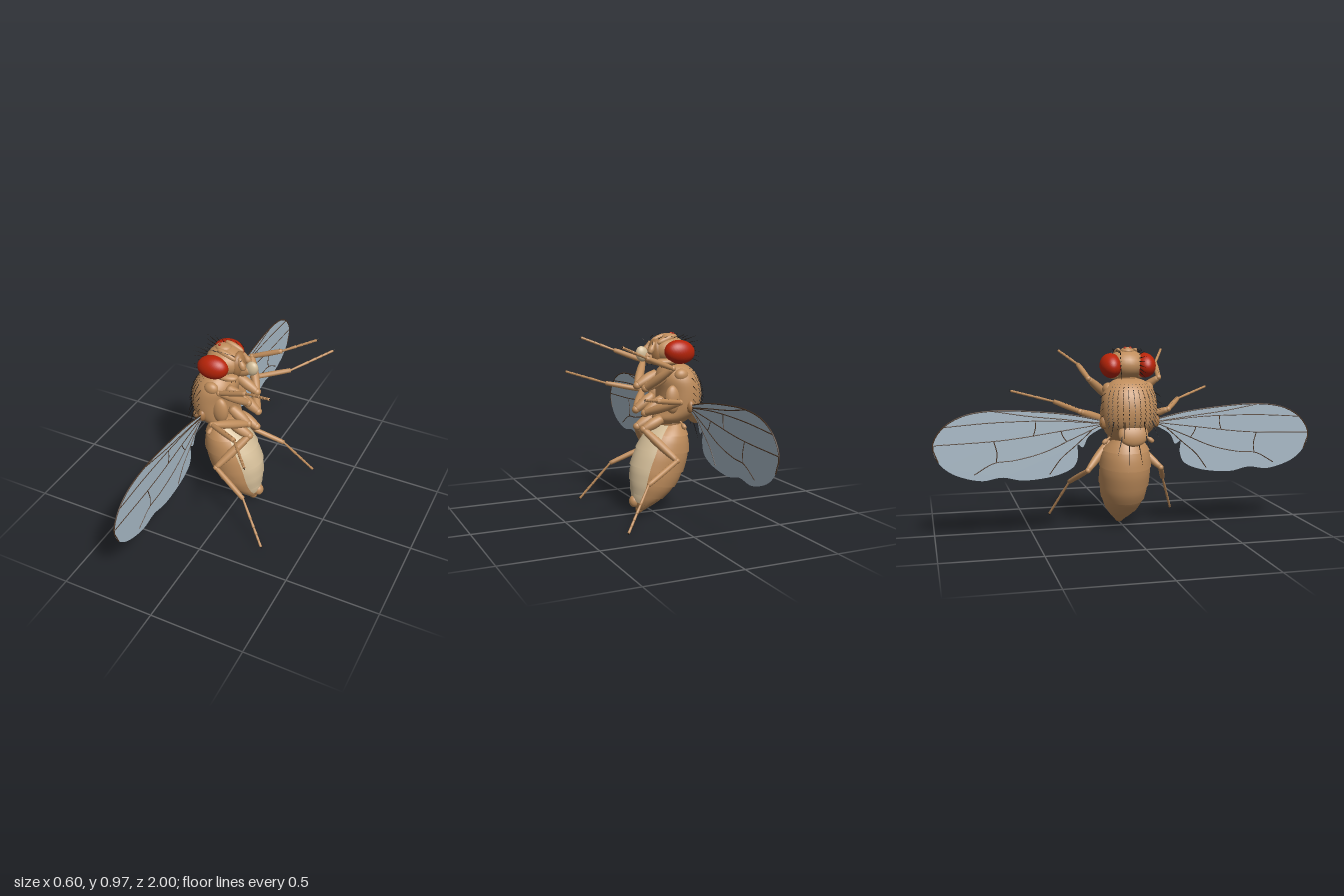
import * as THREE from 'three';
import { toCreasedNormals } from 'three/addons/utils/BufferGeometryUtils.js';

const V = (x, y, z = 0) => new THREE.Vector3(x, y, z);
const mat = (color, extra = {}) => new THREE.MeshStandardMaterial({ color, ...extra });
const tan = mat(0xbf8d5c), tanDark = mat(0xa87748), pale = mat(0xd3bd98);
const black = mat(0x1c140e), veinMat = mat(0x4a3424);
const eyeMat = mat(0xb82408, { flatShading: true });
const wingMat = mat(0xa9bac7, { side: THREE.DoubleSide });
const UP = V(0, 1, 0);

function add(parent, name, geo, material) {
  const m = new THREE.Mesh(geo, material);
  m.name = name;
  parent.add(m);
  return m;
}
function blob(parent, name, p, r, material = tan, tilt = 0) {
  const m = add(parent, name, new THREE.SphereGeometry(1, 24, 16), material);
  m.position.set(...p);
  m.scale.set(...r);
  m.rotation.z = tilt;
  return m;
}

// A body is given by back points, belly points and half widths, smoothed along its length.
// The returned function gives the surface point at t (0..1) and angle a (0 = belly, PI = back).
function body(rows) {
  const back = new THREE.CatmullRomCurve3(rows.map(r => V(r[0], r[1], r[4])));
  const belly = new THREE.CatmullRomCurve3(rows.map(r => V(r[2], r[3], r[4])));
  return (t, a, s = 1) => {
    const d = back.getPoint(t), b = belly.getPoint(t);
    const c = d.clone().add(b).multiplyScalar(0.5);
    const h = b.clone().sub(d).multiplyScalar(0.5 * s);
    return V(c.x + h.x * Math.cos(a), c.y + h.y * Math.cos(a), d.z * s * Math.sin(a));
  };
}
// Skin over a body between two angles; stations are [t, scale].
function skin(surf, stations, a0, a1, n) {
  const pos = [], idx = [];
  stations.forEach(([t, s]) => {
    for (let i = 0; i <= n; i++) pos.push(...surf(t, a0 + (a1 - a0) * i / n, s).toArray());
  });
  for (let j = 0; j < stations.length - 1; j++) for (let i = 0; i < n; i++) {
    const p = j * (n + 1) + i, q = p + n + 1;
    idx.push(p, p + 1, q, p + 1, q + 1, q);
  }
  const g = new THREE.BufferGeometry();
  g.setAttribute('position', new THREE.Float32BufferAttribute(pos, 3));
  g.setIndex(idx);
  return toCreasedNormals(g, 0.7);
}

// Lathed limb piece from a to b; profile lists radii at even steps.
function limb(parent, name, a, b, radii, material = tan) {
  const L = a.distanceTo(b), n = radii.length - 1;
  const smooth = new THREE.SplineCurve(radii.map((r, i) => new THREE.Vector2(r, L * i / n))).getPoints(n * 3);
  const pts = [new THREE.Vector2(0, -radii[0] * 0.4), ...smooth, new THREE.Vector2(0, L + radii[n] * 0.4)];
  const m = add(parent, name, new THREE.LatheGeometry(pts, 12), material);
  m.position.copy(a);
  m.quaternion.setFromUnitVectors(UP, b.clone().sub(a).normalize());
}
function bristle(parent, p, dir, len, r = 0.0022) {
  const d = dir.clone().normalize();
  const m = add(parent, 'bristle', new THREE.ConeGeometry(r, len, 4), black);
  m.position.copy(p).addScaledVector(d, len / 2);
  m.quaternion.setFromUnitVectors(UP, d);
}

function buildAbdomen(g) {
  const surf = body([
    [-0.165, 0.5, -0.06, 0.5, 0.07], [-0.198, 0.425, 0.03, 0.44, 0.12],
    [-0.203, 0.33, 0.085, 0.36, 0.135], [-0.17, 0.22, 0.12, 0.27, 0.13],
    [-0.122, 0.14, 0.126, 0.19, 0.115], [-0.05, 0.075, 0.12, 0.12, 0.085],
    [0.02, 0.035, 0.115, 0.075, 0.053], [0.07, 0.006, 0.095, 0.025, 0.018]]);
  const edge = 0.95;
  for (let i = 0; i < 7; i++) {
    const t = k => (i + k) / 7;
    const rows = [[t(0), 0.97], [t(0.25), 0.99], [t(0.5), 1.0], [t(0.75), 1.01], [t(1), 1.025], [t(1.02), 0.9]];
    if (i === 6) rows.splice(4, 2, [1, 0.9], [1, 0]);
    const whole = i === 6;
    add(g, 'tergite', skin(surf, rows, whole ? 0 : edge, Math.PI * 2 - (whole ? 0 : edge), 36), tan);
    if (!whole) add(g, 'sternite', skin(surf, rows, -edge, edge, 16), pale);
  }
  blob(g, 'abdomenTip', [0.108, 0.07, 0], [0.027, 0.033, 0.03]);
  blob(g, 'abdomenTip', [0.078, 0.024, 0], [0.02, 0.022, 0.024], tanDark);
}

function buildThorax(g) {
  const surf = body([
    [-0.13, 0.815, -0.1, 0.815, 0.03], [-0.2, 0.795, -0.06, 0.795, 0.09],
    [-0.25, 0.74, -0.028, 0.74, 0.135], [-0.272, 0.66, -0.035, 0.66, 0.145],
    [-0.262, 0.58, -0.03, 0.57, 0.138], [-0.215, 0.52, -0.005, 0.52, 0.11], [-0.16, 0.48, -0.04, 0.48, 0.06]]);
  const rows = Array.from({ length: 29 }, (_, i) => [i / 28, 1]);
  add(g, 'thorax', skin(surf, [[0, 0], ...rows, [1, 0]], 0, Math.PI * 2, 40), tan);
  blob(g, 'scutellum', [-0.238, 0.535, 0], [0.03, 0.065, 0.078], tan, -0.3);
  blob(g, 'neck', [-0.105, 0.815, 0], [0.045, 0.035, 0.05], tanDark);
  blob(g, 'waist', [-0.1, 0.49, 0], [0.07, 0.03, 0.08], tanDark);
  // Rows of short back-swept hairs
  for (let j = 0; j < 12; j++) for (let i = -5; i <= 5; i++) {
    const t = 0.2 + j * 0.042, a = Math.PI + i * 0.2;
    const p = surf(t, a), out = V(Math.cos(a), 0, Math.sin(a));
    bristle(g, p, out.multiplyScalar(0.55).add(V(0, -0.8, 0)), 0.028, 0.0019);
  }
  for (const s of [-1, 1]) {
    // Long bristles on the scutellum and the rear and sides of the thorax
    bristle(g, V(-0.255, 0.49, 0.025 * s), V(-0.36, -1, 0.1 * s), 0.13, 0.0035);
    bristle(g, V(-0.255, 0.53, 0.06 * s), V(-0.25, -1, 0.3 * s), 0.11, 0.0035);
    bristle(g, V(-0.265, 0.6, 0.05 * s), V(-0.3, -1, 0.1 * s), 0.1, 0.003);
    bristle(g, V(-0.235, 0.6, 0.1 * s), V(-0.4, -1, 0.3 * s), 0.09, 0.003);
    for (let k = 0; k < 5; k++)
      bristle(g, V(-0.17, 0.74 - k * 0.035, 0.13 * s), V(-0.3, -0.7, s), 0.05, 0.0025);
    blob(g, 'shoulder', [-0.12, 0.755, 0.105 * s], [0.04, 0.035, 0.03]);
    blob(g, 'sidePlate', [-0.07, 0.63, 0.105 * s], [0.045, 0.075, 0.03]);
    blob(g, 'wingHinge', [-0.16, 0.59, 0.135 * s], [0.022, 0.035, 0.025], tanDark);
    limb(g, 'haltere', V(-0.12, 0.51, 0.09 * s), V(-0.13, 0.475, 0.135 * s), [0.006, 0.005, 0.013, 0.01]);
  }
}

function buildHead(g) {
  blob(g, 'head', [-0.09, 0.88, 0], [0.1, 0.078, 0.1]);
  blob(g, 'facePlate', [-0.015, 0.873, 0], [0.035, 0.07, 0.06], tanDark);
  blob(g, 'crown', [-0.1, 0.95, 0], [0.042, 0.02, 0.035]);
  limb(g, 'proboscis', V(0, 0.835, 0), V(0.05, 0.86, 0), [0.03, 0.03, 0.024]);
  blob(g, 'labellum', [0.06, 0.866, 0], [0.034, 0.041, 0.024], pale, -0.3);
  for (const s of [-1, 1]) {
    const eye = add(g, 'eye', new THREE.IcosahedronGeometry(1, 11), eyeMat);
    eye.position.set(-0.116, 0.877, 0.09 * s);
    eye.scale.set(0.085, 0.063, 0.056);
    eye.rotation.z = 0.12;
    blob(g, 'cheek', [-0.06, 0.825, 0.06 * s], [0.07, 0.022, 0.04]);
    blob(g, 'browPlate', [-0.06, 0.94, 0.045 * s], [0.055, 0.018, 0.016], tan, -0.35);
    limb(g, 'antenna', V(0.0, 0.925, 0.025 * s), V(0.032, 0.87, 0.036 * s), [0.011, 0.013, 0.018, 0.012]);
    bristle(g, V(0.015, 0.915, 0.035 * s), V(0.4, 0.7, 0.7 * s), 0.05, 0.002);
    // Ocelli and head bristles
    blob(g, 'ocellus', [-0.115, 0.967, 0.014 * s], [0.008, 0.006, 0.007], eyeMat);
    for (let k = 0; k < 6; k++) {
      bristle(g, V(-0.165 - 0.004 * k, 0.935 - 0.018 * k, 0.05 * s), V(-1, 0.35 - 0.16 * k, 0.25 * s), 0.075, 0.0028);
      bristle(g, V(-0.15 + 0.028 * k, 0.945, 0.05 * s), V(-0.8, 0.45, 0.4 * s), 0.04, 0.0024);
    }
    for (let k = 0; k < 4; k++)
      bristle(g, V(-0.08 + 0.025 * k, 0.81, 0.06 * s), V(0.3, -0.9, 0.3 * s), 0.022);
  }
}

// Legs on one side: coxa root, trochanter, knee, ankle, toe
const LEGS = {
  foreLeg: [V(-0.05, 0.75, 0.06), V(0.065, 0.69, 0.055), V(-0.03, 0.805, 0.19), V(0.13, 0.868, 0.215), V(0.29, 0.935, 0.293)],
  midLeg: [V(-0.03, 0.63, 0.06), V(0.07, 0.56, 0.06), V(-0.048, 0.635, 0.24), V(0.13, 0.67, 0.345), V(0.29, 0.718, 0.56)],
  hindLeg: [V(-0.03, 0.52, 0.05), V(0.07, 0.47, 0.045), V(-0.052, 0.32, 0.2), V(0.14, 0.227, 0.265), V(0.29, 0.018, 0.355)],
};
function buildLegs(g) {
  for (const [name, [root, hip, knee, ankle, toe]] of Object.entries(LEGS)) {
    const leg = new THREE.Group();
    leg.name = name;
    g.add(leg);
    limb(leg, 'coxa', root, hip, [0.024, 0.03, 0.028, 0.02]);
    blob(leg, 'trochanter', hip.toArray(), [0.021, 0.021, 0.021]);
    limb(leg, 'femur', hip, knee, [0.017, 0.023, 0.022, 0.014]);
    blob(leg, 'knee', knee.toArray(), [0.015, 0.015, 0.015]);
    limb(leg, 'tibia', knee, ankle, [0.012, 0.014, 0.014, 0.012]);
    // Tarsus: one long and four short pieces
    const cuts = [0, 0.42, 0.6, 0.74, 0.86, 1];
    for (let i = 0; i < 5; i++)
      limb(leg, 'tarsus', ankle.clone().lerp(toe, cuts[i]), ankle.clone().lerp(toe, cuts[i + 1]), [0.0055, 0.0065, 0.008 - i * 0.0003]);
    const dir = toe.clone().sub(ankle).normalize();
    for (const s of [-1, 1]) bristle(leg, toe, dir.clone().add(V(0, 0.7 * s, 0.3 * s)), 0.014, 0.003);
    for (let i = 1; i < 8; i++)
      bristle(leg, knee.clone().lerp(ankle, i / 8).add(V(0, 0.01, 0)), dir.clone().add(V(0, 0.6, 0)), 0.016, 0.0014);
  }
}

// Wing drawn in (z, y) and stood in the plane x = -0.16
const WING_EDGE = [[0.13, 0.595], [0.3, 0.632], [0.5, 0.655], [0.7, 0.664], [0.85, 0.642], [0.95, 0.585], [1, 0.5],
  [0.975, 0.415], [0.9, 0.35], [0.77, 0.312], [0.66, 0.325], [0.55, 0.305], [0.4, 0.32], [0.3, 0.36], [0.272, 0.42],
  [0.275, 0.48], [0.245, 0.465], [0.215, 0.52], [0.14, 0.565]];
const VEINS = [
  WING_EDGE.slice(0, 8),
  [[0.15, 0.587], [0.35, 0.612], [0.52, 0.632], [0.7, 0.662]],
  [[0.15, 0.585], [0.4, 0.605], [0.7, 0.605], [0.94, 0.59]],
  [[0.15, 0.58], [0.35, 0.553], [0.65, 0.515], [0.995, 0.5]],
  [[0.15, 0.575], [0.3, 0.51], [0.45, 0.445], [0.6, 0.41], [0.7, 0.4], [0.8, 0.345]],
  [[0.2, 0.55], [0.29, 0.47], [0.36, 0.41], [0.42, 0.33]],
  [[0.5, 0.533], [0.49, 0.57], [0.49, 0.606]],
  [[0.7, 0.511], [0.685, 0.45], [0.69, 0.4]],
  [[0.33, 0.497], [0.35, 0.525], [0.36, 0.552]],
];
function buildWing(g) {
  const shape = new THREE.Shape();
  shape.moveTo(...WING_EDGE[0]);
  shape.splineThru(WING_EDGE.slice(1).map(p => new THREE.Vector2(...p)));
  shape.closePath();
  const wing = add(g, 'wing', new THREE.ShapeGeometry(shape, 5), wingMat);
  wing.rotation.y = -Math.PI / 2;
  wing.position.x = -0.16;
  VEINS.forEach((v, i) => {
    const path = new THREE.CatmullRomCurve3(v.map(([z, y]) => V(-0.16, y, z)));
    add(g, 'wingVein', new THREE.TubeGeometry(path, 32, i === 0 ? 0.0035 : 0.0028, 5), veinMat);
  });
}

// Reflects a finished side across z = 0, baking positions and flipping the face order
function mirrored(side, name) {
  side.updateMatrixWorld(true);
  const out = new THREE.Group();
  out.name = name;
  side.traverse(m => {
    if (!m.isMesh) return;
    const geo = m.geometry.clone().applyMatrix4(m.matrixWorld).scale(1, 1, -1);
    const ix = geo.index.array;
    for (let i = 0; i < ix.length; i += 3) [ix[i], ix[i + 1]] = [ix[i + 1], ix[i]];
    add(out, m.name, geo, m.material);
  });
  return out;
}

export function createModel() {
  const model = new THREE.Group();
  model.name = 'fly';
  for (const [name, build] of [['abdomen', buildAbdomen], ['thorax', buildThorax], ['head', buildHead]]) {
    const g = new THREE.Group();
    g.name = name;
    build(g);
    model.add(g);
  }
  const side = new THREE.Group();
  side.name = 'limbs';
  buildLegs(side);
  buildWing(side);
  model.add(side, mirrored(side, 'mirroredLimbs'));
  return model;
}
